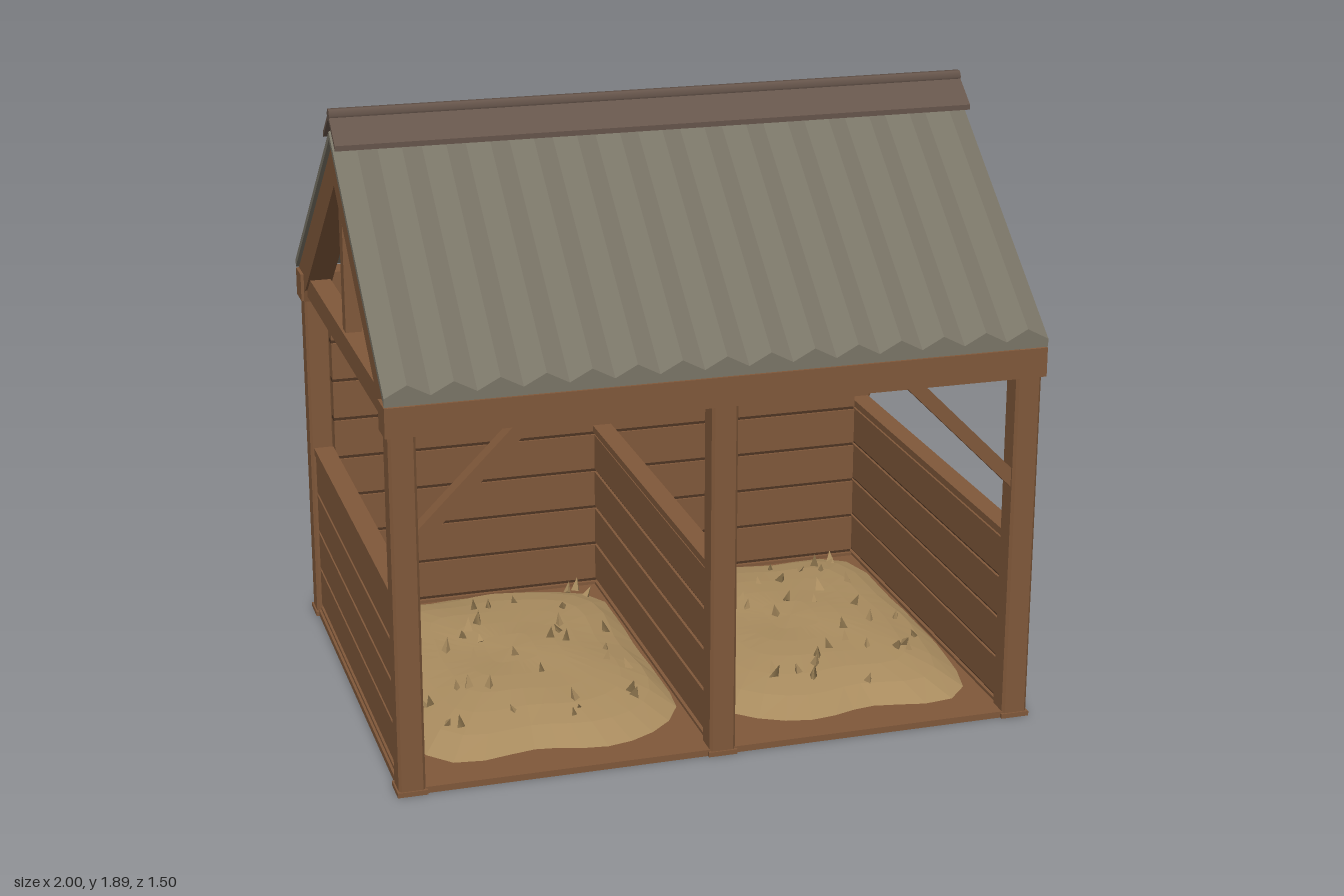
import * as THREE from 'three';

export function createModel() {
  const model = new THREE.Group();
  const mat = (name, color) => {
    const m = new THREE.MeshStandardMaterial({ color });
    m.name = name;
    return m;
  };
  const wood = mat('wood', 0x80583a);
  const groove = mat('dark wood', 0x4e3523);
  const metal = mat('roof grey', 0x7a7567);
  const capMat = mat('ridge brown', 0x66554b);
  const straw = mat('straw', 0xa98c5f);
  straw.side = THREE.DoubleSide;
  straw.flatShading = true;
  const chaff = mat('dark straw', 0x8c744d);

  const add = (name, geometry, material, parent = model) => {
    const mesh = new THREE.Mesh(geometry, material);
    mesh.name = name;
    parent.add(mesh);
    return mesh;
  };
  // Box given by its limits on each axis
  const box = (name, [x0, x1], [y0, y1], [z0, z1], material = wood, parent = model) => {
    const b = add(name, new THREE.BoxGeometry(x1 - x0, y1 - y0, z1 - z0), material, parent);
    b.position.set((x0 + x1) / 2, (y0 + y1) / 2, (z0 + z1) / 2);
    return b;
  };
  const polygon = (pts) => new THREE.Shape(pts.map(([x, y]) => new THREE.Vector2(x, y)));
  const extrude = (pts, depth) =>
    new THREE.ExtrudeGeometry(polygon(pts), { depth, bevelEnabled: false });

  // Floor
  box('floor', [-0.985, 0.985], [0, 0.02], [-0.735, 0.735]);

  // Posts with chamfered edges and small feet
  const a = 0.04, c = 0.032;
  const postGeo = extrude([[-c, -a], [c, -a], [a, -c], [a, c], [c, a], [-c, a], [-a, c], [-a, -c]], 1.11)
    .rotateX(-Math.PI / 2);
  for (const [x, z] of [[-0.95, 0.7], [0, 0.7], [0.95, 0.7], [-0.95, -0.7], [0.95, -0.7]]) {
    add('post', postGeo, wood).position.set(x, 0, z);
    box('postFoot', [x - 0.045, x + 0.045], [0, 0.015], [z - 0.045, z + 0.045]);
  }

  // Boards: each row is a plank above a recessed dark groove
  const rowH = 0.134, firstRow = 0.03;
  const row = (parent, k, xs, zs, alongX) => {
    const y = firstRow + k * rowH, inset = 0.008;
    const gx = alongX ? xs : [xs[0] + inset, xs[1] - inset];
    const gz = alongX ? [zs[0] + inset, zs[1] - inset] : zs;
    box('groove', gx, [y - 0.001, y + 0.013], gz, groove, parent);
    box('plank', xs, [y + 0.012, y + rowH], zs, wood, parent);
  };

  // Low side walls and middle partition
  for (const x of [-0.947, 0, 0.947]) {
    const wall = new THREE.Group();
    wall.name = x ? 'sideWall' : 'partition';
    model.add(wall);
    const zs = [-0.66, 0.665];
    for (let k = 0; k < 4; k++) row(wall, k, [x - 0.027, x + 0.027], zs, false);
    box('groove', [x - 0.019, x + 0.019], [0.56, 0.58], zs, groove, wall);
    box('wallRail', [x - 0.032, x + 0.032], [0.577, 0.6], zs, wood, wall);
    box('wallSill', [x - 0.03, x + 0.03], [0.01, 0.03], zs, wood, wall);
  }

  // Full back wall, rows five and six leave the window open
  const backWall = new THREE.Group();
  backWall.name = 'backWall';
  model.add(backWall);
  const backZ = [-0.72, -0.62];
  for (let k = 0; k < 8; k++) {
    const spans = k === 5 || k === 6 ? [[-0.915, 0.36], [0.64, 0.915]] : [[-0.915, 0.915]];
    for (const s of spans) row(backWall, k, s, backZ, true);
  }
  box('wallSill', [-0.915, 0.915], [0.01, 0.03], [-0.725, -0.615], wood, backWall);

  // Window frame and crossbars
  const win = new THREE.Group();
  win.name = 'window';
  model.add(win);
  const fz = [-0.742, -0.605];
  for (const x of [0.335, 0.633]) box('windowJamb', [x, x + 0.03], [0.7, 0.96], fz, wood, win);
  for (const y of [0.69, 0.95]) box('windowRail', [0.33, 0.668], [y, y + 0.027], [-0.75, -0.6], wood, win);
  box('windowBar', [0.49, 0.508], [0.715, 0.95], [-0.7, -0.66], wood, win);
  box('windowBar', [0.36, 0.635], [0.825, 0.841], [-0.695, -0.665], wood, win);

  // Eave beams
  for (const s of [-1, 1]) {
    const beam = box('eaveBeam', [-1, 1], [1.11, 1.2], [0.66, 0.75]);
    beam.position.z *= s;
  }

  // Gable trusses
  const half = [[0.75, 1.2], [0.75, 1.11], [0.65, 1.11], [0.64, 1.15], [0.6, 1.18]];
  const rafterPts = [[0, 1.785], ...half, [0, 1.655], ...half.map(([x, y]) => [-x, y]).reverse()];
  const rafterGeo = extrude(rafterPts, 0.08).rotateY(Math.PI / 2).translate(-0.04, 0, 0);
  for (const x of [-0.95, 0.95]) {
    add('rafters', rafterGeo, wood).position.x = x;
    box('tieBeam', [x - 0.033, x + 0.033], [1.13, 1.203], [-0.66, 0.66]);
    box('kingPost', [x - 0.025, x + 0.025], [1.2, 1.68], [-0.025, 0.025]);
  }

  // Diagonal front braces
  const bracePts = [[0.92, 0.75], [0.92, 0.81], [0.61, 1.12], [0.55, 1.12]];
  for (const s of [-1, 1]) {
    const pts = bracePts.map(([x, y]) => [x * s, y]);
    add('brace', extrude(pts, 0.05), wood).position.z = 0.675;
  }

  // Roof slopes: a profile across x, sheared down toward the eave
  const slope = (name, pts, top, drop, run, material) => {
    const shear = new THREE.Matrix4().set(1, 0, 0, 0, 0, 1, -drop, top, 0, 0, run, 0, 0, 0, 0, 1);
    for (const turn of [0, Math.PI]) {
      add(name, extrude(pts, 1).applyMatrix4(shear), material).rotation.y = turn;
    }
  };
  const ribs = 15;
  const ribPts = [[-1, 0], [1, 0]];
  for (let i = 2 * ribs; i >= 0; i--) ribPts.push([-1 + i / ribs, i % 2 ? 0.06 : 0.025]);
  slope('corrugatedRoof', ribPts, 1.795, 0.592, 0.75, metal);

  // Ridge cap boards and pole
  slope('ridgeCap', [[-1, 0], [1, 0], [1, 0.016], [-1, 0.016]], 1.86, 0.078, 0.1, capMat);
  const pole = add('ridgePole', new THREE.CylinderGeometry(0.02, 0.02, 2, 6), capMat);
  pole.rotation.z = Math.PI / 2;
  pole.position.y = 1.87;

  // Straw bedding: a low uneven mound in each stall, with loose tufts
  let seed = 7;
  const rand = () => (seed = (seed * 16807) % 2147483647) / 2147483647;
  const moundHeight = (r, x, z) =>
    0.018 + 0.075 * (1 - r ** 4) + 0.009 * Math.sin(x * 14) * Math.cos(z * 11) * (1 - r);
  for (const s of [-1, 1]) {
    const bed = new THREE.Group();
    bed.name = 'strawBed';
    bed.position.set(s * 0.475, 0, -0.01);
    model.add(bed);
    const geo = new THREE.RingGeometry(0.001, 1, 40, 6).rotateX(-Math.PI / 2);
    const p = geo.attributes.position;
    for (let i = 0; i < p.count; i++) {
      const x = p.getX(i), z = p.getZ(i), r = Math.hypot(x, z), t = Math.atan2(z, x);
      const square = 1 / (Math.abs(Math.cos(t)) ** 5 + Math.abs(Math.sin(t)) ** 5) ** 0.2;
      const wave = 1 + 0.035 * Math.sin(t * 7 + s) * r;
      const px = THREE.MathUtils.clamp(x * square * wave * 0.45, -0.44, 0.44);
      const pz = THREE.MathUtils.clamp(z * square * wave * 0.62, -0.61, 0.66);
      p.setXYZ(i, px, moundHeight(Math.min(r, 1), px, pz), pz);
    }
    geo.computeVertexNormals();
    add('mound', geo, straw, bed);
    for (let i = 0; i < 42; i++) {
      const u = rand() * 1.8 - 0.9, v = rand() * 1.8 - 0.9;
      const size = 0.011 + rand() * 0.009;
      const tuft = add('tuft', new THREE.ConeGeometry(size, size * 2.6, 3), i % 3 ? straw : chaff, bed);
      const x = u * 0.43, z = v * 0.6;
      tuft.position.set(x, moundHeight(Math.max(Math.abs(u), Math.abs(v)), x, z) + size * 0.9, z);
      tuft.rotation.set(rand() - 0.5, rand() * 6, rand() - 0.5);
    }
  }
  return model;
}
